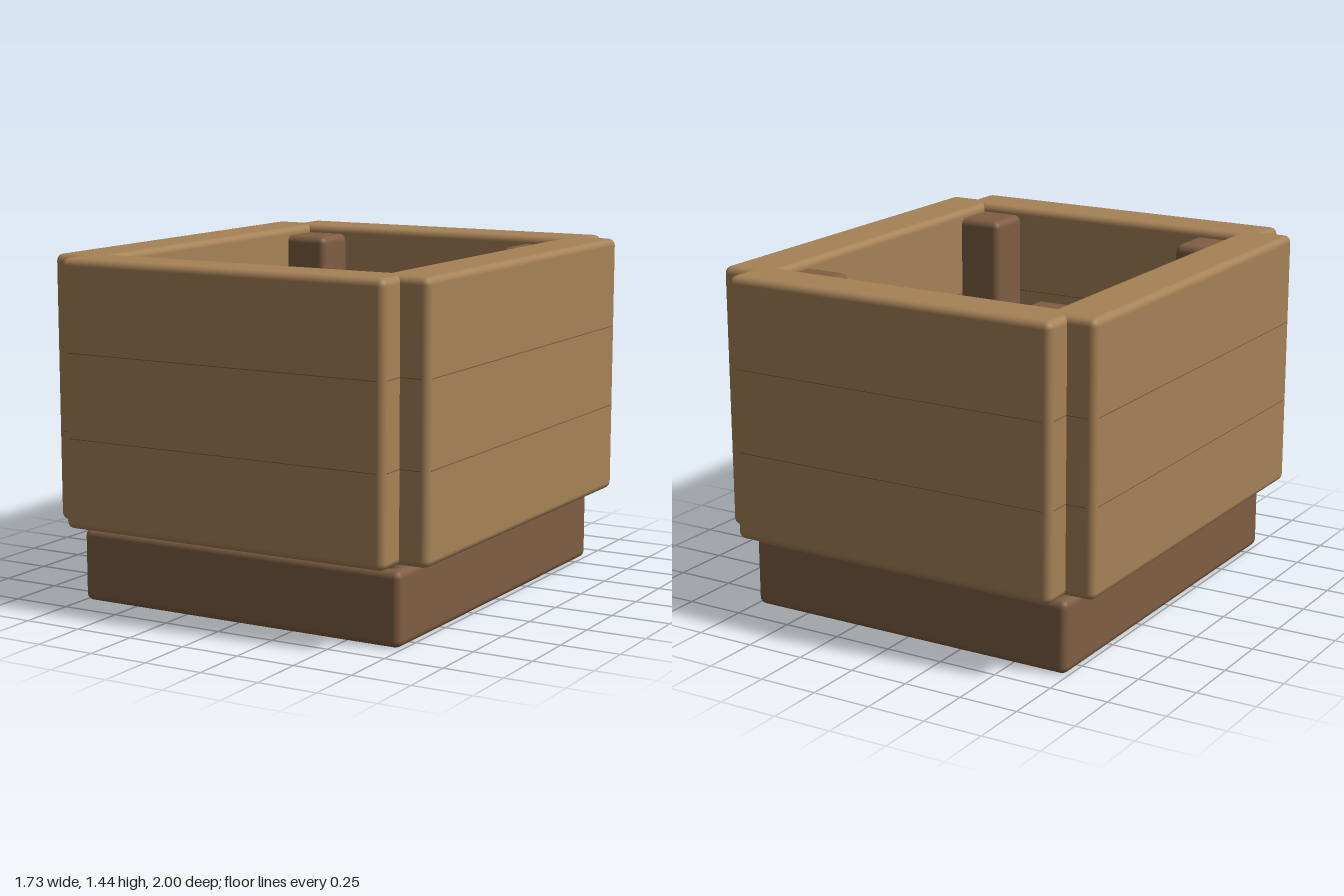
import * as THREE from 'three';
import { RoundedBoxGeometry } from 'three/addons/geometries/RoundedBoxGeometry.js';

const BEVEL = 0.03;

export function createModel() {
  const lightWood = new THREE.MeshStandardMaterial({ color: 0xa68257 });
  lightWood.name = 'light wood';
  const darkWood = new THREE.MeshStandardMaterial({ color: 0x7f5e43 });
  darkWood.name = 'dark wood';

  const planter = new THREE.Group();
  planter.name = 'planter';

  // Bevelled block given by its size and centre
  function block(name, parent, material, [w, h, d], [x, y, z]) {
    const mesh = new THREE.Mesh(new RoundedBoxGeometry(w, h, d, 2, BEVEL), material);
    mesh.name = name;
    mesh.position.set(x, y, z);
    parent.add(mesh);
    return mesh;
  }

  // Wall with two fine seams between its three planks
  function wall(name, w, d, x, z) {
    const group = new THREE.Group();
    group.name = name;
    group.position.set(x, 0, z);
    block('planks', group, lightWood, [w, 1.11, d], [0, 0.885, 0]);
    for (const y of [0.707, 1.058]) {
      for (const [sw, sd] of [[w - 2 * BEVEL, d + 0.002], [w + 0.002, d - 2 * BEVEL]]) {
        const seam = new THREE.Mesh(new THREE.BoxGeometry(sw, 0.004, sd), darkWood);
        seam.name = 'plankSeam';
        seam.position.y = y;
        group.add(seam);
      }
    }
    planter.add(group);
  }

  // Plinth
  block('base', planter, darkWood, [1.49, 0.305, 1.75], [0, 0.1525, 0]);

  // Four overlapping walls
  wall('frontWall', 1.486, 0.23, 0, 0.885);
  wall('backWall', 1.486, 0.23, 0, -0.885);
  wall('leftWall', 0.23, 1.75, 0.75, 0);
  wall('rightWall', 0.23, 1.75, -0.75, 0);

  // Corner posts rising from the base, partly set into the walls
  for (const sx of [-1, 1]) {
    for (const sz of [-1, 1]) {
      block('cornerPost', planter, darkWood, [0.26, 1.145, 0.26], [sx * 0.575, 0.8325, sz * 0.705]);
    }
  }

  return planter;
}
